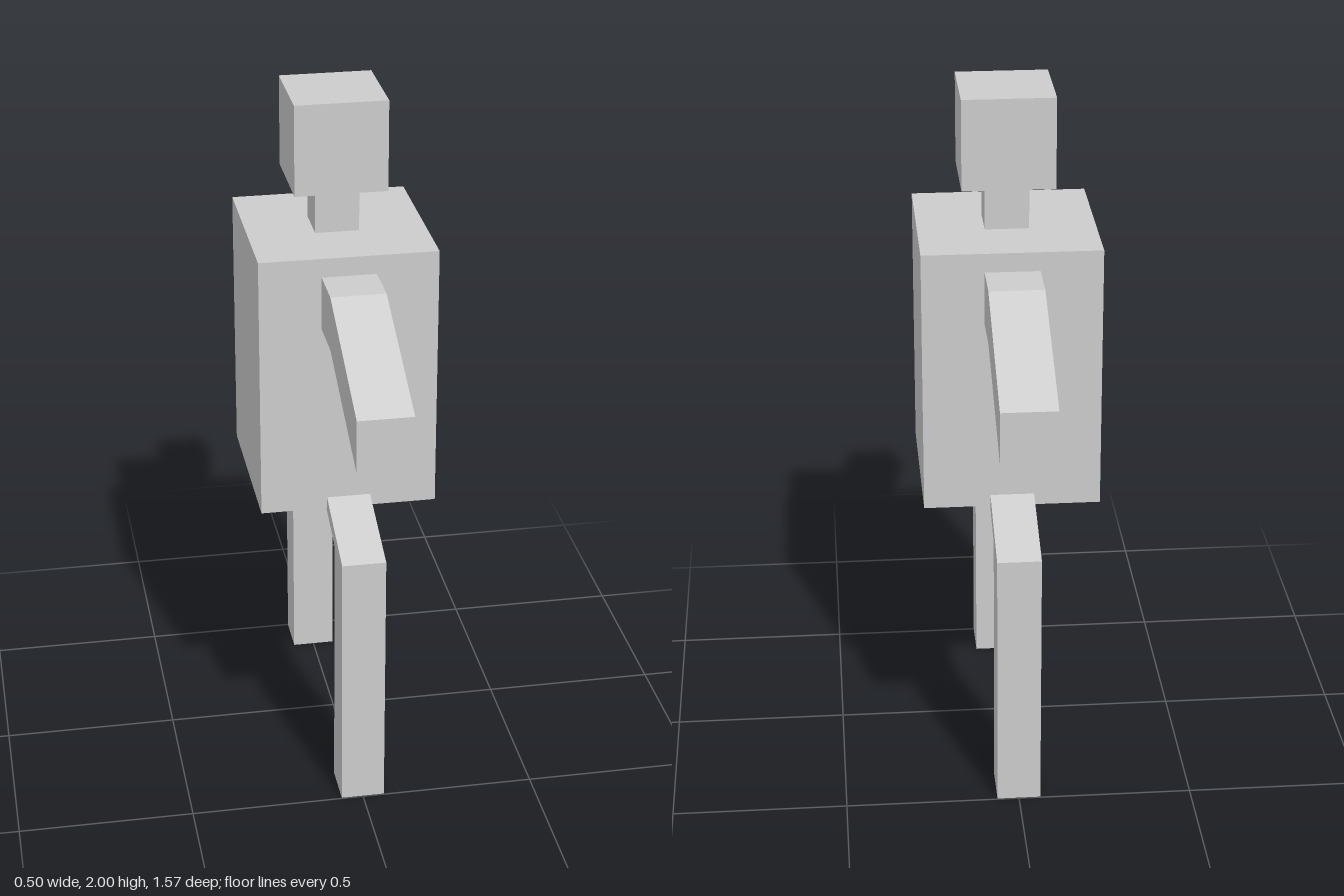
import * as THREE from 'three';

const material = new THREE.MeshStandardMaterial({ color: 0xcccccc, flatShading: true });

// Box resting on a given height
function block(name, width, bottom, top) {
  const mesh = new THREE.Mesh(new THREE.BoxGeometry(width, top - bottom, width), material);
  mesh.name = name;
  mesh.position.y = (bottom + top) / 2;
  return mesh;
}

// Side profile of [z, y] points, given thickness across x
function limbGeometry(points, width) {
  const shape = new THREE.Shape(points.map(([z, y]) => new THREE.Vector2(z, y)));
  const geometry = new THREE.ExtrudeGeometry(shape, { depth: width, bevelEnabled: false });
  return geometry.translate(0, 0, -width / 2).rotateY(-Math.PI / 2);
}

export function createModel() {
  const model = new THREE.Group();
  model.name = 'blockFigure';

  model.add(
    block('torso', 0.504, 0.83, 1.6),
    block('neck', 0.125, 1.6, 1.74),
    block('head', 0.262, 1.738, 2),
  );

  // Arm: level shoulder, then a forearm sloping down
  const arm = limbGeometry([
    [0.25, 1.39], [0.39, 1.39], [0.783, 1.215],
    [0.783, 1.365], [0.39, 1.545], [0.25, 1.545],
  ], 0.154);

  // Leg: sloping hip under the torso edge, then a straight post
  const leg = limbGeometry([
    [0.225, 0.83], [0.37, 0.775], [0.37, 0],
    [0.497, 0], [0.497, 0.775], [0.25, 0.865],
  ], 0.125);

  // One arm and leg toward the front, one of each toward the back
  for (const [side, angle] of [['front', 0], ['back', Math.PI]]) {
    for (const [part, geometry] of [['Arm', arm], ['Leg', leg]]) {
      const limb = new THREE.Mesh(geometry, material);
      limb.name = side + part;
      limb.rotation.y = angle;
      model.add(limb);
    }
  }
  return model;
}
